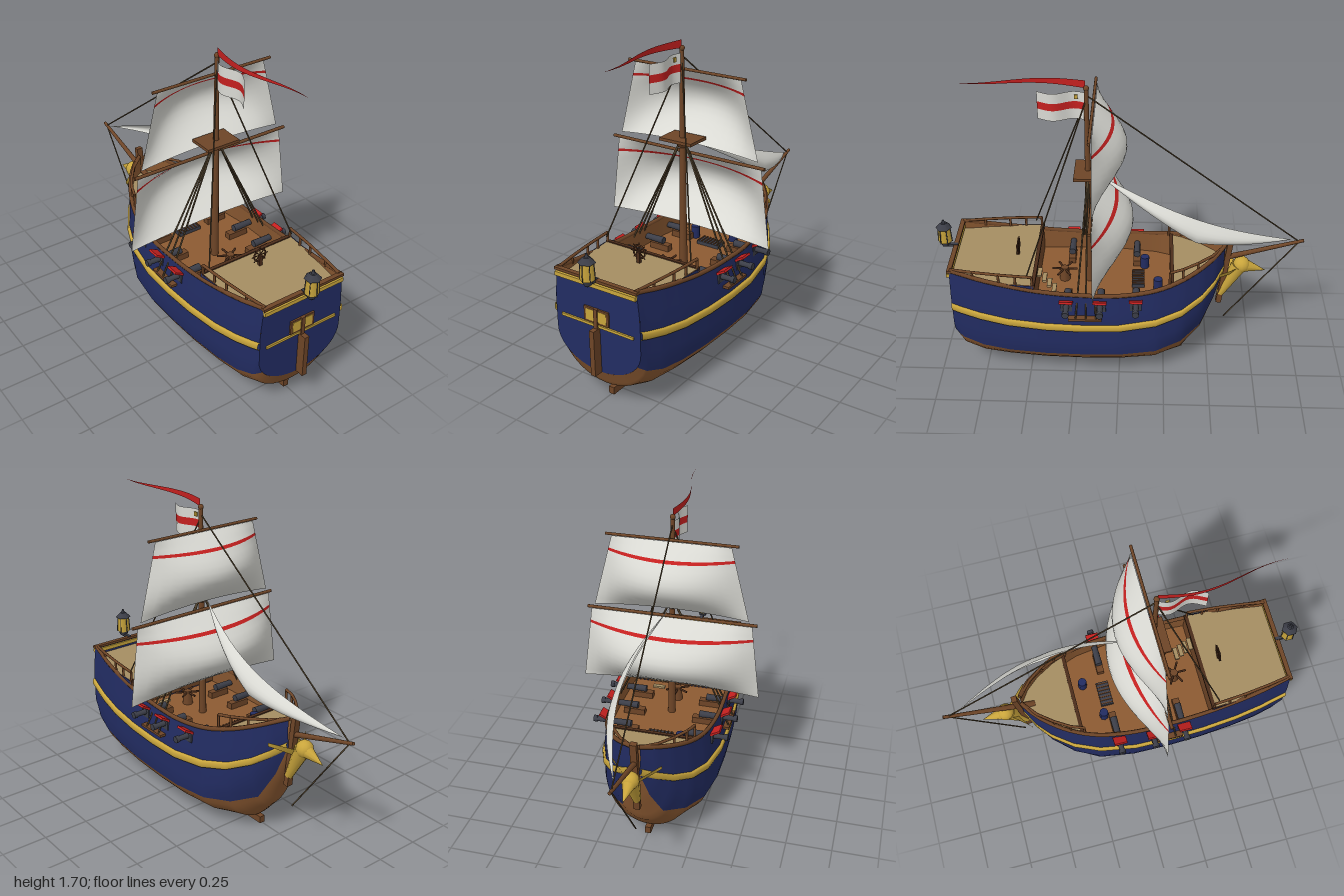
import * as THREE from 'three';

const mat = (name, color) => new THREE.MeshStandardMaterial({ name, color, side: THREE.DoubleSide });
const M = {
  navy: mat('navy paint', 0x222c62), plank: mat('hull planks', 0x8c5a32), wood: mat('brown wood', 0x6e4527),
  dark: mat('dark wood', 0x4a2c1a), deck: mat('pale deck', 0xa58d62), gold: mat('gold', 0xc9a53c),
  red: mat('red', 0xc4201f), sail: mat('sailcloth', 0xd9d9d3), iron: mat('iron', 0x3c3e48), rope: mat('rope', 0x54452f),
};
const V = (x, y, z) => new THREE.Vector3(x, y, z);
const lerp = THREE.MathUtils.lerp;

// Hull lines, listed by station from stern (+z) to bow (-z)
const Z = [0.905, 0.86, 0.75, 0.6, 0.4, 0.2, 0, -0.2, -0.34, -0.45, -0.52, -0.57];
const SHEER = [0.69, 0.68, 0.655, 0.628, 0.6, 0.587, 0.585, 0.605, 0.64, 0.68, 0.71, 0.73];
const WIDE = [0.258, 0.265, 0.285, 0.303, 0.317, 0.322, 0.318, 0.288, 0.235, 0.165, 0.1, 0.025];
const KEEL = [0.18, 0.09, 0.05, 0.04, 0.035, 0.035, 0.035, 0.035, 0.05, 0.17, 0.36, 0.54];
const PAINT = [0.285, 0.25, 0.21, 0.19, 0.185, 0.185, 0.185, 0.19, 0.205, 0.25, 0.4, 0.57];
const STRIPE = [0.465, 0.45, 0.425, 0.4, 0.385, 0.38, 0.382, 0.4, 0.43, 0.48, 0.53, 0.575];

function at(table, z) {
  let i = 0;
  while (i < Z.length - 2 && z < Z[i + 1]) i++;
  const t = THREE.MathUtils.clamp((z - Z[i]) / (Z[i + 1] - Z[i]), 0, 1);
  return lerp(table[i], table[i + 1], t);
}
const stationZ = (u) => {
  const f = u * (Z.length - 1), i = Math.min(Math.floor(f), Z.length - 2);
  return lerp(Z[i], Z[i + 1], f - i);
};
// Half-width of the hull at a given length and height
function halfWidth(z, y) {
  const k = at(KEEL, z), h = THREE.MathUtils.clamp((y - k) / (at(SHEER, z) - k), 0, 1);
  const bilge = z < -0.2 ? lerp(0.35, 0.7, (-0.2 - z) / 0.37) : 0.35;
  const round = Math.sqrt(Math.max(0, 1 - Math.pow(1 - Math.min(1, h / bilge), 2)));
  return at(WIDE, z) * round * (1 - 0.06 * Math.max(0, (h - 0.7) / 0.3));
}

// Surface from a rule f(u, v) -> [x, y, z]
function patch(f, nu, nv) {
  const pos = [], idx = [];
  for (let i = 0; i <= nu; i++) for (let j = 0; j <= nv; j++) pos.push(...f(i / nu, j / nv));
  for (let i = 0; i < nu; i++) for (let j = 0; j < nv; j++) {
    const a = i * (nv + 1) + j, b = a + nv + 1;
    idx.push(a, b, a + 1, b, b + 1, a + 1);
  }
  const g = new THREE.BufferGeometry();
  g.setAttribute('position', new THREE.Float32BufferAttribute(pos, 3));
  g.setIndex(idx);
  g.computeVertexNormals();
  return g;
}

export function createModel() {
  const ship = new THREE.Group();
  ship.name = 'sailingShip';
  const add = (name, geo, m, x = 0, y = 0, z = 0) => {
    const mesh = new THREE.Mesh(geo, m);
    mesh.name = name;
    mesh.position.set(x, y, z);
    ship.add(mesh);
    return mesh;
  };
  const box = (name, m, w, h, d, x, y, z) => add(name, new THREE.BoxGeometry(w, h, d), m, x, y, z);
  const rod = (name, m, a, b, r0, r1 = r0, sides = 8) => {
    const d = b.clone().sub(a), c = a.clone().add(b).multiplyScalar(0.5);
    const mesh = add(name, new THREE.CylinderGeometry(r1, r0, d.length(), sides), m, c.x, c.y, c.z);
    mesh.quaternion.setFromUnitVectors(V(0, 1, 0), d.normalize());
    return mesh;
  };

  // Hull sides, stripe, inner walls and cap rail
  for (const s of [-1, 1]) {
    const skin = (lo, hi, inset, power = 1) => (u, v) => {
      const z = stationZ(u), y = lerp(lo(z), hi(z), Math.pow(v, power));
      return [s * Math.max(0, halfWidth(z, y) - inset), y, z];
    };
    const keel = (z) => at(KEEL, z), paint = (z) => at(PAINT, z), sheer = (z) => at(SHEER, z);
    add('lowerHull', patch(skin(keel, paint, 0, 2), 44, 8), M.plank);
    add('upperHull', patch(skin(paint, sheer, 0), 44, 8), M.navy);
    add('innerWall', patch(skin((z) => Math.max(0.45, keel(z)), sheer, 0.015), 44, 4), M.plank);
    add('goldStripe', patch((u, v) => {
      const z = stationZ(u), a = v * Math.PI, y = at(STRIPE, z) - Math.cos(a) * 0.022;
      return [s * (halfWidth(z, y) - 0.002 + 0.016 * Math.sqrt(Math.sin(a) + 1e-9)), y, z];
    }, 44, 6), M.gold);
    const line = Z.map((z) => V(s * (halfWidth(z, 1) - 0.006), at(SHEER, z), z));
    add('capRail', new THREE.TubeGeometry(new THREE.CatmullRomCurve3(line), 40, 0.012, 6), M.wood);
  }
  add('transom', patch((u, v) => {
    const y = lerp(0.18, 0.69, v * v);
    return [(u * 2 - 1) * halfWidth(0.905, y), y, 0.905];
  }, 2, 16), M.navy);
  box('keel', M.wood, 0.032, 0.04, 1.18, 0, 0.02, 0.23);

  // Stern details
  box('sternRail', M.gold, 0.49, 0.022, 0.025, 0, 0.661, 0.908);
  box('sternCap', M.wood, 0.5, 0.014, 0.025, 0, 0.687, 0.905);
  box('sternBand', M.gold, 0.44, 0.014, 0.012, 0, 0.44, 0.908);
  box('windowFrame', M.wood, 0.15, 0.08, 0.012, 0, 0.493, 0.908);
  for (const s of [-1, 1]) box('windowPane', M.gold, 0.052, 0.06, 0.008, s * 0.036, 0.493, 0.912);
  box('rudder', M.wood, 0.028, 0.25, 0.05, 0, 0.305, 0.93);
  box('rudderPost', M.wood, 0.022, 0.17, 0.016, 0, 0.45, 0.914);
  box('lanternArm', M.iron, 0.018, 0.016, 0.08, 0, 0.69, 0.935);
  const hex = (name, m, top, bottom, h, y) => add(name, new THREE.CylinderGeometry(top, bottom, h, 6).toNonIndexed(), m, 0, y, 0.962);
  hex('lanternBase', M.iron, 0.03, 0.022, 0.025, 0.702);
  hex('lanternGlass', M.gold, 0.033, 0.038, 0.09, 0.76);
  hex('lanternRoof', M.iron, 0.018, 0.045, 0.028, 0.819);
  hex('lanternKnob', M.iron, 0.006, 0.01, 0.02, 0.842);
  for (let i = 0; i < 6; i++) {
    const a = i * Math.PI / 3, c = Math.sin(a), d = Math.cos(a);
    rod('lanternBar', M.iron, V(c * 0.038, 0.715, 0.962 + d * 0.038), V(c * 0.033, 0.805, 0.962 + d * 0.033), 0.003, 0.003, 4);
  }

  // Decks and bulkheads
  const deck = (name, m, z0, z1, y) => add(name, patch((u, v) => {
    const z = lerp(z0, z1, u);
    return [(v * 2 - 1) * Math.max(0.005, halfWidth(z, y) - 0.008), y, z];
  }, 16, 2), m);
  deck('mainDeck', M.plank, 0.46, -0.3, 0.47);
  deck('poopDeck', M.deck, 0.9, 0.455, 0.637);
  deck('foreDeck', M.deck, -0.28, -0.56, 0.622);
  box('poopBulkhead', M.wood, 0.58, 0.155, 0.015, 0, 0.555, 0.458);
  box('poopBeam', M.dark, 0.58, 0.016, 0.02, 0, 0.635, 0.456);
  box('foreBulkhead', M.wood, 0.48, 0.14, 0.015, 0, 0.545, -0.285);
  box('foreBeam', M.dark, 0.48, 0.016, 0.02, 0, 0.62, -0.283);
  for (const s of [-1, 1]) add('poopSide', patch((u, v) => {
    const z = lerp(0.455, 0.66, u);
    return [s * (halfWidth(z, 1) - 0.004), lerp(at(SHEER, z) - 0.01, 0.638, v), z];
  }, 4, 1), M.navy);

  // Deck railings
  const railing = (s, stops, y0, y1) => {
    const pts = stops.map((z, i) => V(s * (halfWidth(z, 1) - 0.012), lerp(y0, y1, i / (stops.length - 1)), z));
    pts.forEach((p, i) => {
      rod('railPost', M.wood, V(p.x, at(SHEER, p.z) - 0.01, p.z), p, 0.007);
      if (i) rod('railing', M.wood, pts[i - 1], p, 0.008);
    });
  };
  for (const s of [-1, 1]) {
    railing(s, [0.46, 0.55, 0.64, 0.78, 0.9], 0.69, 0.693);
    railing(s, [-0.27, -0.34, -0.42, -0.5, -0.56], 0.7, 0.725);
  }

  // Guns, ports and lids
  for (const s of [-1, 1]) for (const z of [0.28, 0.1, -0.09]) {
    const w = halfWidth(z, 0.52);
    rod('cannon', M.iron, V(s * (w - 0.13), 0.525, z), V(s * (w + 0.075), 0.525, z), 0.02, 0.014, 10);
    rod('muzzle', M.iron, V(s * (w + 0.065), 0.525, z), V(s * (w + 0.085), 0.525, z), 0.019, 0.019, 10);
    box('gunCarriage', M.wood, 0.12, 0.035, 0.04, s * (w - 0.11), 0.49, z);
    box('gunPort', M.iron, 0.014, 0.055, 0.062, s * w, 0.52, z);
    box('portLid', M.red, 0.06, 0.012, 0.072, s * (w + 0.018), 0.562, z).rotation.z = s * 0.5;
  }

  // Deck fittings
  box('hatchGrating', M.iron, 0.14, 0.02, 0.07, 0, 0.48, -0.1);
  for (let i = -3; i <= 3; i++) box('gratingBar', M.wood, 0.005, 0.006, 0.07, i * 0.02, 0.493, -0.1);
  for (const [x, z] of [[-0.125, -0.135], [0.08, -0.21]]) {
    add('barrel', new THREE.CylinderGeometry(0.025, 0.025, 0.07, 8), M.navy, x, 0.505, z);
  }
  add('capstan', new THREE.CylinderGeometry(0.022, 0.03, 0.08, 8), M.wood, 0, 0.51, 0.31);
  for (let i = 0; i < 3; i++) {
    const a = i * Math.PI / 3 + Math.PI / 6, c = Math.cos(a) * 0.07, d = Math.sin(a) * 0.07;
    rod('capstanBar', M.dark, V(-c, 0.54, 0.31 - d), V(c, 0.54, 0.31 + d), 0.006);
  }
  for (let i = 0; i < 4; i++) box('stair', M.deck, 0.07, 0.012, 0.024, 0.125, 0.5 + i * 0.035, 0.36 + i * 0.025);
  box('wheelStand', M.dark, 0.02, 0.06, 0.016, 0, 0.665, 0.565);
  add('steeringWheel', new THREE.TorusGeometry(0.036, 0.005, 6, 16), M.dark, 0, 0.695, 0.56);
  for (let i = 0; i < 4; i++) {
    const a = i * Math.PI / 4, c = Math.cos(a) * 0.05, d = Math.sin(a) * 0.05;
    rod('wheelSpoke', M.dark, V(-c, 0.695 - d, 0.56), V(c, 0.695 + d, 0.56), 0.003, 0.003, 5);
  }

  // Mast, platform and yards
  rod('mast', M.wood, V(0, 0.45, 0.17), V(0, 1.65, 0.17), 0.022, 0.011, 12);
  add('mastBall', new THREE.SphereGeometry(0.015, 10, 8), M.wood, 0, 1.655, 0.17);
  box('mastPlatform', M.wood, 0.195, 0.016, 0.14, 0, 1.18, 0.17);
  add('platformCollar', new THREE.CylinderGeometry(0.05, 0.02, 0.04, 8), M.wood, 0, 1.155, 0.17);
  rod('upperYard', M.wood, V(-0.355, 1.54, 0.14), V(0.355, 1.54, 0.14), 0.008);
  rod('lowerYard', M.wood, V(-0.47, 1.1, 0.14), V(0.47, 1.1, 0.14), 0.009);

  // Square sails, each with a red band
  const squareSail = (name, w0, w1, y0, y1, depth) => {
    for (const [v0, v1, m] of [[0, 0.17, M.sail], [0.17, 0.205, M.red], [0.205, 1, M.sail]]) {
      add(name, patch((u, t) => {
        const v = lerp(v0, v1, t), a = u * 2 - 1, belly = 1 - a * a;
        return [a * lerp(w0, w1, v), lerp(y0, y1, v) + 0.025 * belly * v * v, 0.13 - depth * belly * Math.sin(Math.PI * v)];
      }, 16, v1 === 1 ? 10 : 3), m);
    }
  };
  squareSail('upperSail', 0.32, 0.425, 1.535, 1.125, 0.165);
  squareSail('lowerSail', 0.445, 0.5, 1.095, 0.665, 0.2);

  // Headsail, bellied to one side
  add('headSail', patch((u, v) => {
    const z = lerp(0.12, -0.93, u), bow = Math.sin(Math.PI * u);
    const drop = 0.125 * (u < 0.5 ? u / 0.5 : (1 - u) / 0.5);
    return [bow * (0.115 + 0.05 * Math.sin(Math.PI * v * 0.75)), lerp(1.16, 0.765, u) - v * drop, z];
  }, 24, 6), M.sail);

  // Flag and pennant, flying aft
  const wave = (u) => -0.018 * Math.sin(u * 7) - 0.008 * u;
  [[1.63, 1.575, M.sail], [1.575, 1.535, M.red], [1.535, 1.478, M.sail]].forEach(([a, b, m]) =>
    add('flag', patch((u, v) => [wave(u), lerp(a, b, v) - 0.005 * u, 0.175 + 0.245 * u], 12, 1), m));
  box('flagBadge', M.gold, 0.008, 0.022, 0.018, -0.006, 1.605, 0.222);
  add('pennant', patch((u, v) => [-0.03 * Math.sin(u * 5), 1.677 + 0.01 * u + (v - 0.5) * 0.042 * (1 - u), 0.175 + 0.645 * u], 20, 1), M.red);

  // Bowsprit, stem and rigging
  rod('bowsprit', M.wood, V(0, 0.615, -0.5), V(0, 0.76, -0.995), 0.017, 0.009, 10);
  const stem = box('stemPost', M.wood, 0.035, 0.44, 0.03, 0, 0.55, -0.578);
  stem.rotation.x = -0.11;
  rod('forestay', M.rope, V(0, 1.61, 0.16), V(0, 0.76, -0.96), 0.004, 0.004, 5);
  rod('bobstay', M.rope, V(0, 0.75, -0.97), V(0, 0.22, -0.59), 0.004, 0.004, 5);
  for (const s of [-1, 1]) {
    rod('backstay', M.rope, V(0, 1.6, 0.17), V(s * 0.265, 0.68, 0.49), 0.004, 0.004, 5);
    box('channel', M.wood, 0.035, 0.014, 0.18, s * 0.332, 0.458, 0.18);
    for (const z of [0.12, 0.175, 0.23]) rod('shroud', M.rope, V(s * 0.012, 1.17, 0.17), V(s * 0.342, 0.46, z), 0.005, 0.005, 5);
  }

  // Gilded bird figurehead
  rod('figureBody', M.gold, V(0, 0.39, -0.56), V(0, 0.585, -0.655), 0.022, 0.045, 10);
  add('figureHead', new THREE.SphereGeometry(0.047, 12, 10), M.gold, 0, 0.592, -0.668);
  rod('figureBeak', M.gold, V(0, 0.585, -0.69), V(0, 0.555, -0.8), 0.036, 0.001, 10);
  for (const s of [-1, 1]) add('figureWing', patch((u, v) =>
    [s * 0.13 * u, 0.575 + 0.04 * u - 0.05 * v * (1 - 0.6 * u), lerp(-0.68, -0.54, u) + 0.06 * v * (1 - u)], 4, 2), M.gold);

  return ship;
}
